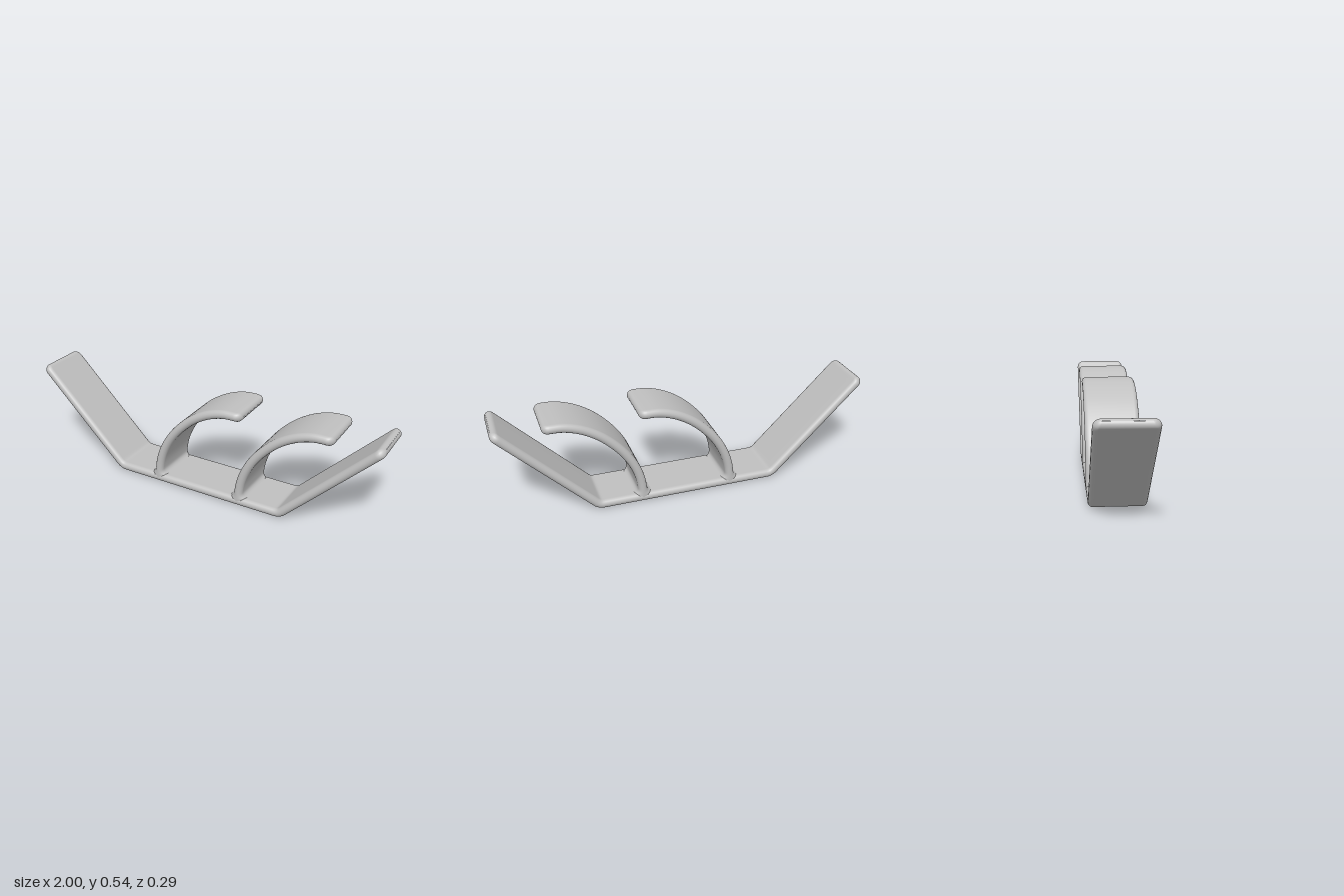
import * as THREE from 'three';

const HALF_WIDTH = 0.145;   // half depth of every strip along z
const HALF_THICK = 0.024;   // half thickness of every strip
const CORNER = 0.04;        // rounding of the strip corners at free ends
const V = (x, y) => new THREE.Vector3(x, y, 0);

// quarter-round profile: 0 at d = 0, r once d reaches r
const round = (d, r) => (d >= r ? r : Math.sqrt(Math.max(0, r * r - (r - d) ** 2)));

// cross-section outline: flat strip with fully rounded edges, as [normal, z] pairs
function section(h, w) {
  const pts = [], n = 8, r = Math.min(h, w);
  for (const side of [1, -1]) {
    for (let k = 0; k <= n; k++) {
      const a = (k / n) * Math.PI;
      pts.push([side * Math.cos(a) * h, side * (w - r + Math.sin(a) * r)]);
    }
  }
  return pts;
}

// sweep the section along a curve in the xy plane; a root is flared and left open, other ends are rounded
function strip(curve, steps, rooted) {
  const length = curve.getLength();
  const near = [0, 0.001, 0.003, 0.007, 0.012, 0.018, 0.024, 0.032, 0.04, 0.05];
  const dist = [...near, ...near.map((d) => length - d)];
  for (let i = 1; i < steps; i++) dist.push(0.05 + ((length - 0.1) * i) / steps);
  dist.sort((a, b) => a - b);

  const positions = [], index = [];
  let count = 0;
  dist.forEach((d, i) => {
    const p = curve.getPointAt(d / length), t = curve.getTangentAt(d / length);
    const end = rooted ? length - d : Math.min(d, length - d);
    let h = Math.max(round(end, HALF_THICK), 0.0004);
    const w = HALF_WIDTH - CORNER + round(end, CORNER);
    if (rooted) {
      const rise = Math.max(0, p.y - 0.046), fillet = 0.034;
      h += fillet - round(rise, fillet);
    }
    const ring = section(h, w);
    count = ring.length;
    for (const [a, z] of ring) positions.push(p.x - t.y * a, p.y + t.x * a, z);
    if (i === 0) return;
    for (let j = 0; j < count; j++) {
      const a = (i - 1) * count + j, b = (i - 1) * count + ((j + 1) % count);
      index.push(a, b, a + count, b, b + count, a + count);
    }
  });
  const geo = new THREE.BufferGeometry();
  geo.setAttribute('position', new THREE.Float32BufferAttribute(positions, 3));
  geo.setIndex(index);
  geo.computeVertexNormals();
  return geo;
}

// flat base with two sloping arms and softly bent corners
function trayCurve() {
  const path = new THREE.CurvePath(), c = 0.024, s = c * Math.SQRT1_2;
  const x = 0.489, y = HALF_THICK;
  path.add(new THREE.LineCurve3(V(-0.993, 0.528), V(-x - s, y + s)));
  path.add(new THREE.QuadraticBezierCurve3(V(-x - s, y + s), V(-x, y), V(-x + c, y)));
  path.add(new THREE.LineCurve3(V(-x + c, y), V(x - c, y)));
  path.add(new THREE.QuadraticBezierCurve3(V(x - c, y), V(x, y), V(x + s, y + s)));
  path.add(new THREE.LineCurve3(V(x + s, y + s), V(0.993, 0.528)));
  path.arcLengthDivisions = 1000;
  return path;
}

export function createModel() {
  const grey = new THREE.MeshStandardMaterial({ color: 0xc0c0c0 });
  grey.name = 'light grey';
  const model = new THREE.Group();
  model.name = 'curvedHolder';

  const tray = new THREE.Mesh(strip(trayCurve(), 160, false), grey);
  tray.name = 'baseWithSlopingArms';
  model.add(tray);

  // two identical curved hooks standing on the base
  const hookCurve = new THREE.CatmullRomCurve3([
    V(-0.241, 0.03), V(-0.239, 0.08), V(-0.229, 0.14), V(-0.205, 0.21), V(-0.163, 0.286),
    V(-0.105, 0.358), V(-0.025, 0.43), V(0.065, 0.482), V(0.15, 0.508), V(0.21, 0.512), V(0.26, 0.51),
  ]);
  const hookGeometry = strip(hookCurve, 48, true);
  [['rightHook', 0], ['leftHook', 0.492]].forEach(([name, x]) => {
    const hook = new THREE.Mesh(hookGeometry, grey);
    hook.name = name;
    hook.position.x = x;
    model.add(hook);
  });
  return model;
}
